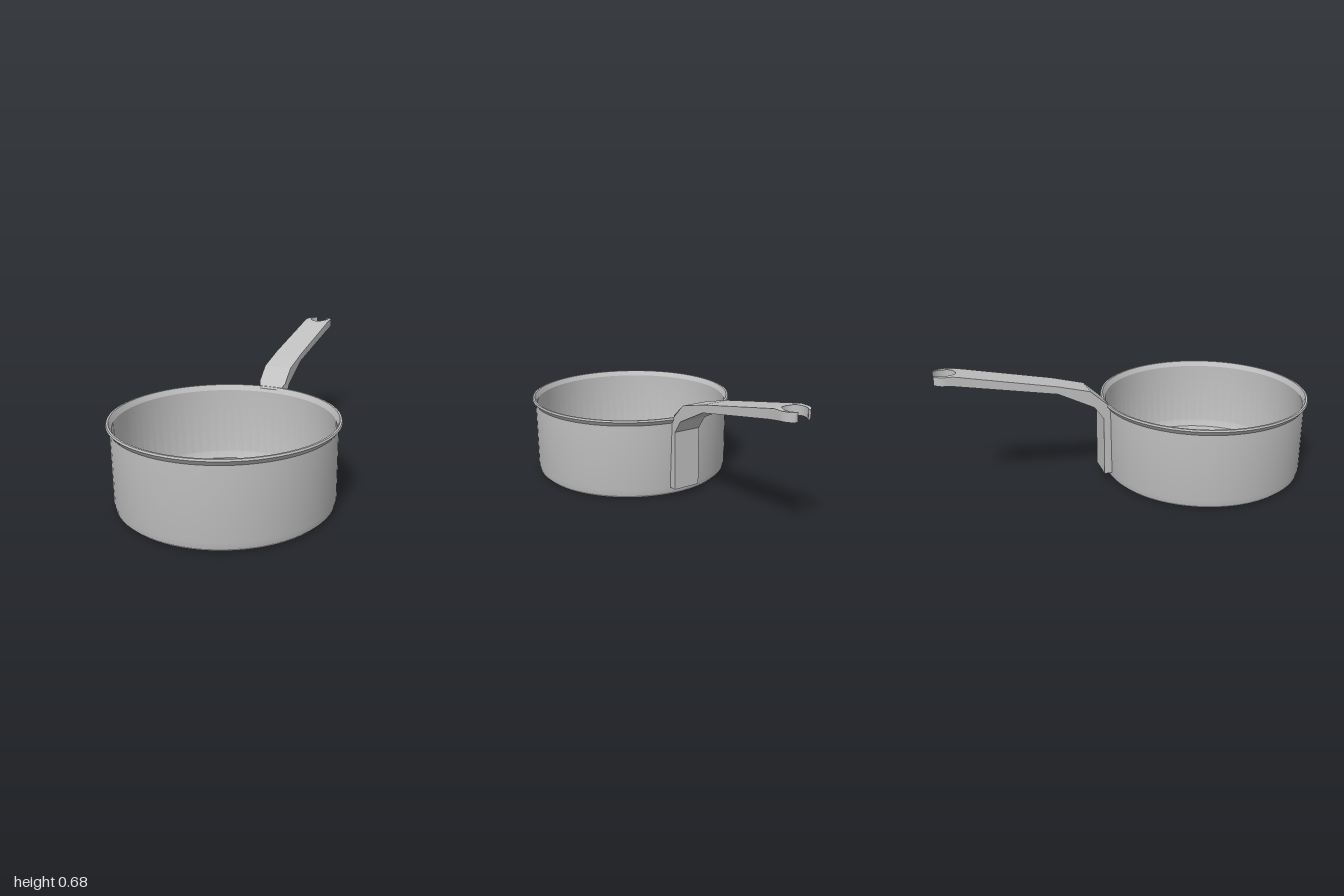
import * as THREE from 'three';
import { toCreasedNormals } from 'three/addons/utils/BufferGeometryUtils.js';

const vectors = (points) => points.map(([x, y]) => new THREE.Vector2(x, y));

export function createModel() {
  const group = new THREE.Group();
  const steel = new THREE.MeshStandardMaterial({ color: 0xc0c0c0 });
  steel.name = 'brushed steel';

  const add = (name, geometry, x, z) => {
    const mesh = new THREE.Mesh(toCreasedNormals(geometry, 0.4), steel);
    mesh.name = name;
    mesh.position.set(x, 0, z);
    group.add(mesh);
  };

  // Pan: thin wall with bevelled base and flared rim, outside then inside
  const pan = new THREE.LatheGeometry(vectors([
    [0, 0], [0.53, 0], [0.546, 0.017], [0.553, 0.05], [0.553, 0.408],
    [0.57, 0.431], [0.566, 0.44], [0.556, 0.44], [0.541, 0.412],
    [0.541, 0.05], [0.525, 0.012], [0, 0.012],
  ]), 72);
  add('pan', pan, 0, 0.43);

  // Handle: bent strip, profile as (distance back, height)
  const width = 0.153;
  const centre = 0.011;
  const strip = new THREE.ExtrudeGeometry(new THREE.Shape(vectors([
    [0.117, 0.05], [0.16, 0.05], [0.16, 0.37], [0.21, 0.44], [0.4, 0.535],
    [0.87, 0.624], [0.87, 0.672], [0.4, 0.575], [0.23, 0.53],
    [0.152, 0.46], [0.13, 0.44], [0.117, 0.43],
  ])), { depth: width, bevelEnabled: false });
  strip.translate(0, 0, -width / 2).rotateY(Math.PI / 2);
  // Narrow the strip slightly where it meets the rim
  const sp = strip.attributes.position;
  for (let i = 0; i < sp.count; i++) {
    if (sp.getY(i) > 0.42 && sp.getZ(i) > -0.135) sp.setX(i, sp.getX(i) * 0.84);
  }
  add('handle', strip, centre, 0);

  // Handle end: rounded fork with an open hanging hole
  const w = width / 2;
  const a = Math.asin(0.05 / 0.06);
  const fork = new THREE.Shape();
  fork.moveTo(-w, 0.87);
  fork.lineTo(w, 0.87);
  fork.lineTo(w, 0.91);
  fork.lineTo(w, 0.94);
  fork.quadraticCurveTo(w, 0.98, 0.042, 1);
  fork.lineTo(0.053 * Math.cos(a), 1);
  fork.absellipse(0, 0.95, 0.053, 0.06, a, Math.PI - a, true);
  fork.lineTo(-0.042, 1);
  fork.quadraticCurveTo(-w, 0.98, -w, 0.94);
  fork.lineTo(-w, 0.91);
  fork.closePath();
  const end = new THREE.ExtrudeGeometry(fork, { depth: 1, bevelEnabled: false, curveSegments: 14 });
  end.rotateX(-Math.PI / 2);
  // Follow the slope of the strip, then level off
  const ep = end.attributes.position;
  for (let i = 0; i < ep.count; i++) {
    const s = -ep.getZ(i);
    const top = 0.672 + 0.2 * (Math.min(s, 0.91) - 0.87);
    const bottom = 0.624 + 0.19 * (Math.min(s, 0.93) - 0.87);
    ep.setY(i, ep.getY(i) > 0.5 ? top : bottom);
  }
  add('handleEnd', end, centre, 0);

  return group;
}
